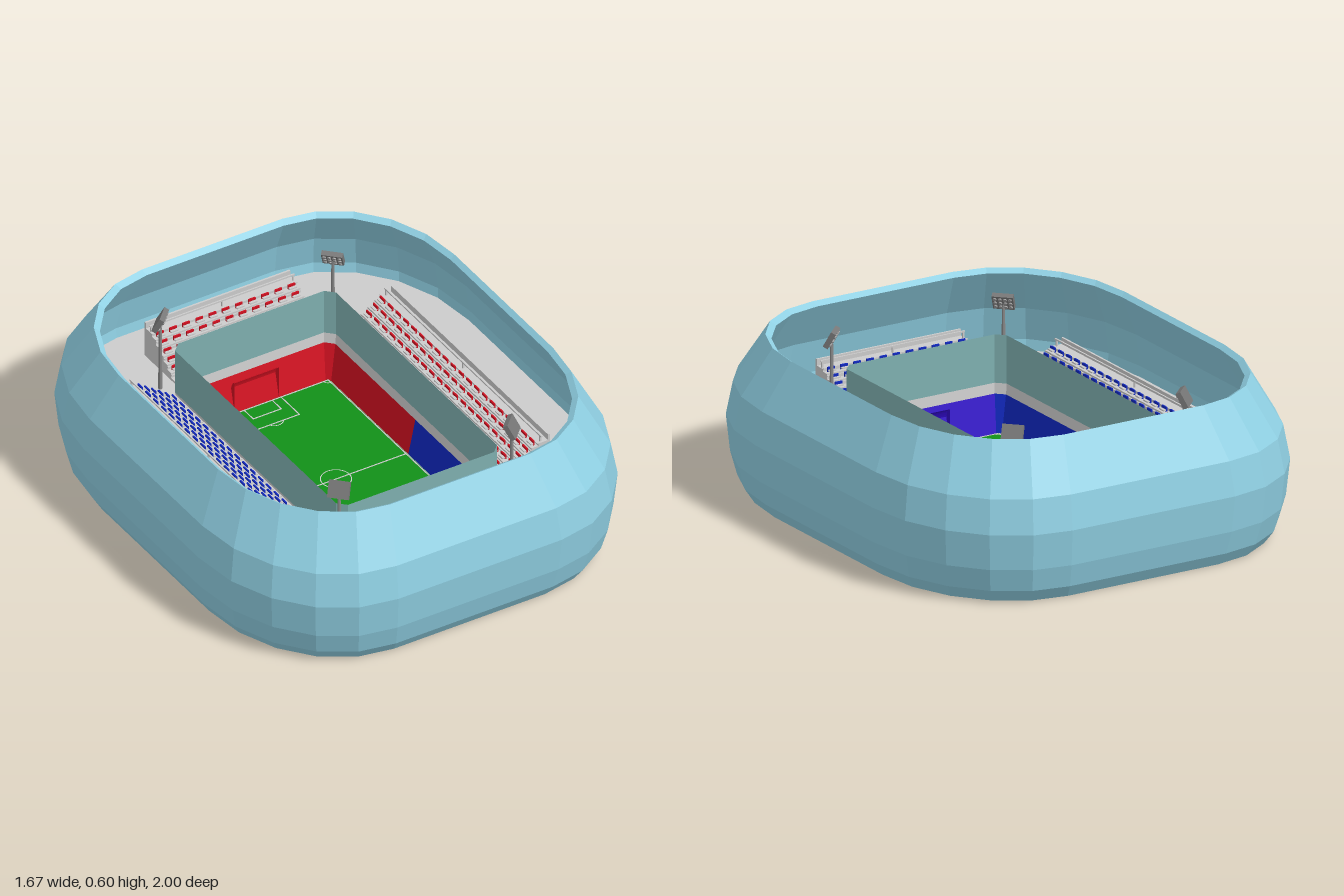
import * as THREE from 'three';
import { mergeGeometries } from 'three/addons/utils/BufferGeometryUtils.js';

const FLOOR = 0.24, GRASS = 0.07;
const RED = 0xd01020, BLUE = 0x1028c0, VIOLET = 0x3008c8, GREY = 0xcccccc;

function mat(color = GREY, double = false) {
  return new THREE.MeshStandardMaterial({
    color, flatShading: true, side: double ? THREE.DoubleSide : THREE.FrontSide });
}
function add(parent, name, geometry, color, double) {
  const mesh = new THREE.Mesh(geometry, mat(color, double));
  mesh.name = name;
  parent.add(mesh);
  return mesh;
}
function box(w, h, d, x, y, z) {
  return new THREE.BoxGeometry(w, h, d).translate(x, y, z);
}

// Rounded-rectangle plan of the shell, five facets per corner
function plan() {
  const pts = [];
  for (let q = 0; q < 4; q++) {
    const sx = q === 0 || q === 3 ? 1 : -1, sz = q < 2 ? 1 : -1;
    for (let i = 0; i <= 5; i++) {
      const a = (q + i / 5) * Math.PI / 2;
      pts.push([sx * 0.35 + 0.485 * Math.cos(a), sz * 0.4 + 0.6 * Math.sin(a)]);
    }
  }
  return pts;
}

// Loft the plan through [height, scale] levels
function loft(levels) {
  const ring = plan(), n = ring.length, pos = [], idx = [];
  levels.forEach(([y, s]) => ring.forEach(([x, z]) => pos.push(x * s, y, z * s)));
  for (let k = 0; k < levels.length - 1; k++) for (let i = 0; i < n; i++) {
    const a = k * n + i, b = k * n + (i + 1) % n;
    idx.push(a, a + n, b, b, a + n, b + n);
  }
  const g = new THREE.BufferGeometry();
  g.setAttribute('position', new THREE.Float32BufferAttribute(pos, 3));
  g.setIndex(idx);
  g.computeVertexNormals();
  return g;
}

// Pit outline: chamfered rectangle, with side midpoints where colours change
function pitRing(hx, hz, c) {
  return [[hx, 0], [hx, hz - c], [hx - c, hz], [c - hx, hz], [-hx, hz - c],
    [-hx, 0], [-hx, c - hz], [c - hx, -hz], [hx - c, -hz], [hx, c - hz]];
}
function flat(points, y, holePoints) {
  const v = p => p.map(([x, z]) => new THREE.Vector2(x, -z));
  const shape = new THREE.Shape(v(points));
  if (holePoints) shape.holes.push(new THREE.Path(v(holePoints)));
  return new THREE.ShapeGeometry(shape).rotateX(-Math.PI / 2).translate(0, y, 0);
}
function band(lower, y0, upper, y1, i) {
  const j = (i + 1) % lower.length;
  const [a, b, c, d] = [[lower[i], y0], [lower[j], y0], [upper[j], y1], [upper[i], y1]]
    .map(([[x, z], y]) => [x, y, z]);
  const g = new THREE.BufferGeometry();
  g.setAttribute('position', new THREE.Float32BufferAttribute([a, b, c, a, c, d].flat(), 3));
  g.computeVertexNormals();
  return g;
}

// Stepped stand rising toward +z, front edge at z = 0
function makeStand(name, length, depth, rows, seats, color) {
  const g = new THREE.Group(), steps = [], chairs = [];
  g.name = name;
  const rowDepth = (depth - 0.05) / rows, rise = 0.125 / rows;
  for (let r = 0; r < rows; r++) {
    const h = 0.01 + r * rise, z = (r + 0.5) * rowDepth;
    steps.push(box(length, h, rowDepth, 0, h / 2, z));
    steps.push(box(length, 0.004, 0.006, 0, h + 0.012, z + rowDepth * 0.4));
    for (let i = 0; i < seats; i++) {
      const x = ((i + 0.5) / seats - 0.5) * length;
      chairs.push(box(0.03, 0.018, 0.006, x, h + 0.009, z + 0.004));
      steps.push(box(0.03, 0.005, 0.012, x, h + 0.006, z - 0.004));
    }
  }
  // Rear walkway, back wall and rail
  steps.push(box(length, 0.125, 0.05, 0, 0.0625, depth - 0.025));
  steps.push(box(length, 0.15, 0.008, 0, 0.075, depth - 0.004));
  steps.push(box(length, 0.006, 0.006, 0, 0.15, depth - 0.035));
  for (const x of [-0.49, 0, 0.49])
    steps.push(box(0.006, 0.03, 0.006, x * length, 0.137, depth - 0.035));
  add(g, 'steps', mergeGeometries(steps));
  add(g, 'seats', mergeGeometries(chairs), color);
  return g;
}

// Floodlight whose lamps face +z
function makeFloodlight() {
  const g = new THREE.Group(), lamps = [];
  g.name = 'floodlight';
  add(g, 'pole', new THREE.CylinderGeometry(0.006, 0.008, 0.3, 8).translate(0, 0.15, 0), 0x888888);
  const head = new THREE.Group();
  head.name = 'lampHead';
  head.position.y = 0.305;
  head.rotation.x = 0.5;
  add(head, 'frame', box(0.08, 0.065, 0.02, 0, 0, 0), 0x777777);
  for (let i = 0; i < 4; i++) for (let j = 0; j < 3; j++)
    lamps.push(new THREE.CylinderGeometry(0.007, 0.007, 0.006, 8).rotateX(Math.PI / 2)
      .translate((i - 1.5) * 0.019, (j - 1) * 0.019, 0.012));
  add(head, 'lamps', mergeGeometries(lamps), 0x999999);
  g.add(head);
  return g;
}

function pitchLines() {
  const parts = [], w = 0.004, y = GRASS + 0.002;
  const line = (x, z, lx, lz) => parts.push(box(lx + w, 0.002, lz + w, x, y, z));
  const arc = (r, x, z, start, len, turn = 0) => parts.push(
    new THREE.RingGeometry(r - w / 2, r + w / 2, 32, 1, start, len)
      .rotateX(-Math.PI / 2).translate(x, y + 0.001, z).rotateY(turn));
  line(0, 0, 0.6, 0);
  arc(0.057, 0, 0, 0, Math.PI * 2);
  for (const s of [-1, 1]) {
    line(s * 0.3, 0, 0, 1.08);
    line(0, s * 0.54, 0.6, 0);
    for (const [hx, z] of [[0.098, 0.413], [0.06, 0.477]]) {
      line(0, s * z, hx * 2, 0);
      for (const t of [-1, 1]) line(t * hx, s * (z + 0.54) / 2, 0, 0.54 - z);
    }
    const turn = s > 0 ? 0 : Math.PI;
    arc(0.035, 0, 0.43, 0.55, Math.PI - 1.1, turn);
    arc(0.02, -0.3, 0.54, 0, Math.PI / 2, turn);
    arc(0.02, 0.3, 0.54, Math.PI / 2, Math.PI / 2, turn);
  }
  return mergeGeometries(parts);
}

export function createModel() {
  const model = new THREE.Group();
  model.name = 'stadium';

  // Faceted bowl with a bevelled rim and overhanging inner wall
  add(model, 'shell', loft([[0, 0.925], [0.05, 0.96], [0.14, 0.985], [0.28, 1], [0.41, 0.975],
    [0.6, 0.86], [0.585, 0.838], [0.41, 0.945], [0.28, 0.975], [FLOOR, 0.97]]), 0x8fcfe2);
  add(model, 'base', loft([[0, 0], [0, 0.925]]), GREY, true);

  // Concourse floor and sunken pitch
  const low = pitRing(0.31, 0.55, 0.015), mid = pitRing(0.34, 0.585, 0.03);
  const top = pitRing(0.345, 0.59, 0.032);
  add(model, 'concourse', flat(plan().map(([x, z]) => [x * 0.972, z * 0.972]), FLOOR, top), GREY, true);
  add(model, 'pitchSurround', flat(low, GRASS - 0.004), GREY, true);
  add(model, 'grass', box(0.61, 0.006, 1.09, 0, GRASS - 0.002, 0), 0x129018);
  add(model, 'pitchLines', pitchLines(), 0xf0f0f0);

  // Pit walls, kerb and screens around the pitch
  const colors = [BLUE, BLUE, VIOLET, BLUE, BLUE, RED, RED, RED, RED, RED];
  for (let i = 0; i < 10; i++) {
    add(model, 'pitWall', band(low, GRASS - 0.004, mid, 0.21, i), colors[i], true);
    add(model, 'kerb', band(mid, 0.21, top, 0.25, i), GREY, true);
    add(model, 'screen', band(top, 0.25, top, 0.437, i), 0x7fb0b0, true);
  }

  // Curved goals and the four stands
  for (const s of [1, -1]) {
    const end = new THREE.Group();
    end.name = s > 0 ? 'frontEnd' : 'backEnd';
    end.rotation.y = s > 0 ? 0 : Math.PI;
    const goal = new THREE.CylinderGeometry(1, 1, 0.19, 12, 1, false, 0, Math.PI / 2)
      .rotateZ(Math.PI / 2).scale(1, 0.13, 0.035).translate(0, GRASS, 0.55);
    add(end, 'goal', goal, s > 0 ? VIOLET : RED, true);
    const endStand = makeStand('endStand', 0.62, 0.21, 6, 11, s > 0 ? BLUE : RED);
    endStand.position.set(0, FLOOR, 0.615);
    end.add(endStand);
    model.add(end);

    const sideStand = makeStand('sideStand', 1.09, 0.225, 6, 20, s > 0 ? RED : BLUE);
    sideStand.position.set(s * 0.355, FLOOR, 0);
    sideStand.rotation.y = s * Math.PI / 2;
    model.add(sideStand);

    // Floodlights facing the pitch from each corner
    for (const t of [1, -1]) {
      const light = makeFloodlight();
      light.position.set(s * 0.37, FLOOR, t * 0.62);
      light.rotation.y = Math.atan2(-s, -t);
      model.add(light);
    }
  }
  return model;
}
